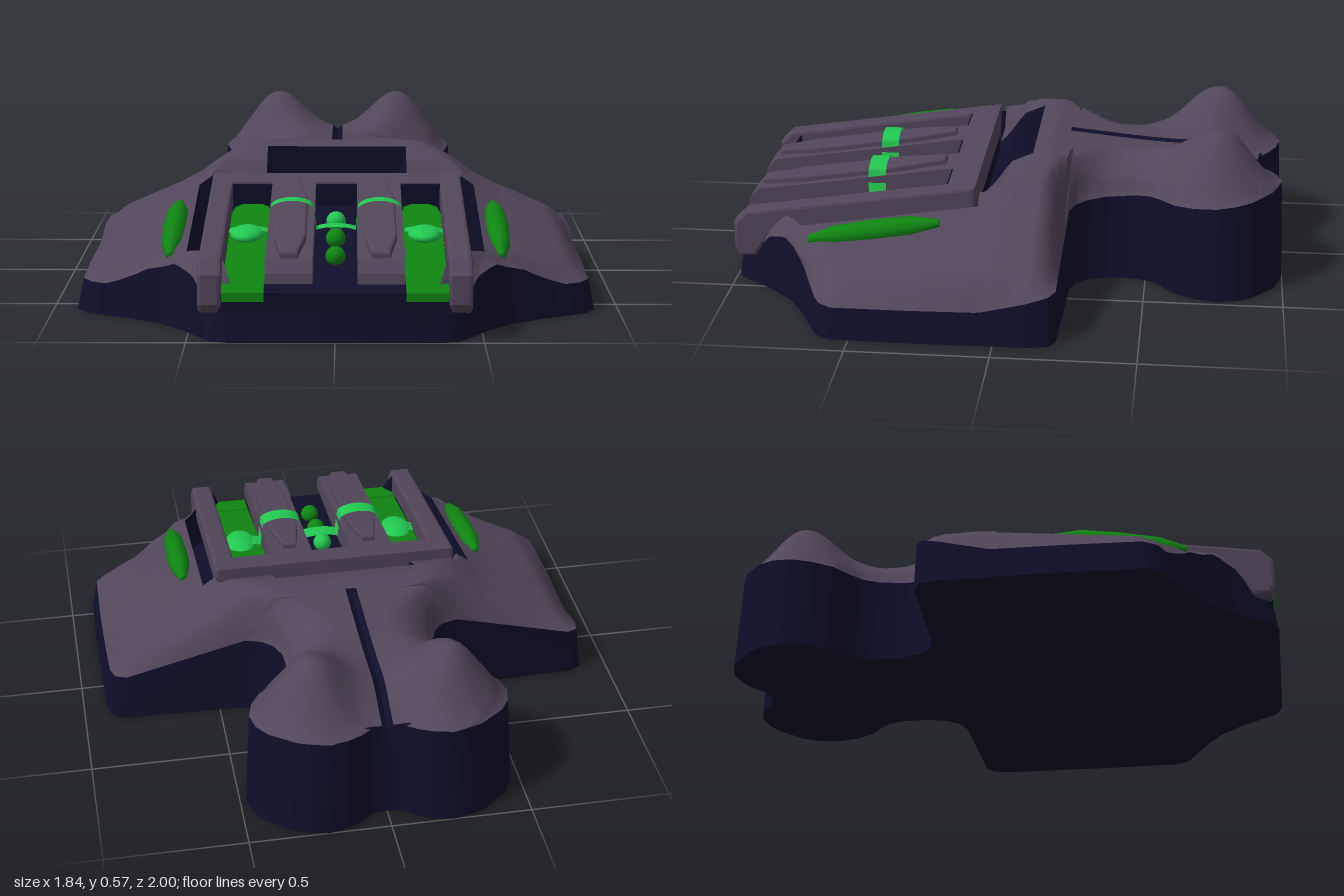
import * as THREE from 'three';
import { toCreasedNormals } from 'three/addons/utils/BufferGeometryUtils.js';

const mat = (name, color, side = THREE.FrontSide) => {
  const m = new THREE.MeshStandardMaterial({ color, side });
  m.name = name;
  return m;
};
const { lerp, smoothstep, clamp } = THREE.MathUtils;

// Piecewise linear lookup through [position, value] pairs
const along = (pts, t) => {
  if (t <= pts[0][0]) return pts[0][1];
  for (let i = 1; i < pts.length; i++) {
    const [a, va] = pts[i - 1], [b, vb] = pts[i];
    if (t <= b) return lerp(va, vb, (t - a) / (b - a));
  }
  return pts[pts.length - 1][1];
};

// Half outline of the hull as [z, x], back to front
const OUTER = [[-1, 0.22], [-0.985, 0.29], [-0.965, 0.34], [-0.89, 0.43], [-0.83, 0.465], [-0.76, 0.478], [-0.68, 0.46],
  [-0.61, 0.42], [-0.56, 0.36], [-0.52, 0.32], [-0.46, 0.3], [-0.36, 0.3], [-0.29, 0.325], [-0.25, 0.36], [-0.228, 0.42],
  [-0.215, 0.86], [-0.19, 0.9], [-0.12, 0.915], [0.3, 0.92], [0.57, 0.915], [0.62, 0.88], [0.7, 0.71], [0.76, 0.61],
  [0.85, 0.52], [0.93, 0.46], [0.98, 0.42], [1, 0.36]];
const INNER = [[-1, 0.22], [-0.985, 0.15], [-0.96, 0.1], [-0.92, 0.05], [-0.915, 0]];
const EDGE = [...INNER.slice().reverse(), ...OUTER.slice(1), [1, 0]];

// Heights: seam between the two colours, crown along the middle, slope of the shoulders
const SEAM = [[-1, 0.37], [-0.228, 0.3], [-0.215, 0.18], [-0.1, 0.15], [0.05, 0.115], [0.65, 0.11], [0.72, 0.18],
  [0.8, 0.22], [0.87, 0.19], [0.95, 0.1], [1, 0.1]];
const CROWN = [[-1, 0.4], [-0.8, 0.42], [-0.6, 0.43], [-0.4, 0.45], [-0.2, 0.47], [-0.15, 0.48], [-0.08, 0.465],
  [0, 0.43], [0.04, 0.37], [0.09, 0.31]];
const SHOULDER = [[0.3, 0.48], [0.38, 0.455], [0.44, 0.42], [0.52, 0.36], [0.6, 0.32], [0.8, 0.24], [0.92, 0.19]];

function edgeDistance(x, z) {
  let best = 9;
  for (let i = 1; i < EDGE.length; i++) {
    const [az, ax] = EDGE[i - 1], [bz, bx] = EDGE[i];
    const dx = bx - ax, dz = bz - az;
    const t = clamp(((x - ax) * dx + (z - az) * dz) / (dx * dx + dz * dz), 0, 1);
    best = Math.min(best, Math.hypot(x - ax - t * dx, z - az - t * dz));
  }
  return best;
}

function topHeight(x, z) {
  const seam = along(SEAM, z);
  const lobe = 0.15 * Math.exp(-((x - 0.24) ** 2) / 0.02 - ((z + 0.77) ** 2) / 0.035);
  let h = along(CROWN, z) + lobe;
  if (z > -0.28) {
    const side = along(SHOULDER, x) * (1 - 0.42 * Math.max(0, z));
    h = x < 0.46 ? Math.min(h, side) : side;
  }
  const r = lerp(0.2, 0.09, smoothstep(z, -0.4, -0.2));
  const e = Math.sin(Math.min(1, edgeDistance(x, z) / r) * Math.PI / 2);
  return seam + Math.max(0, h - seam) * e;
}

// One half of the hull: closed cross-sections joined front to back, sorted into shell and base faces
function hullHalf(s) {
  const zs = OUTER.concat(INNER).map((p) => p[0]).concat([-0.082, -0.078, 0.094, 0.1]);
  for (let z = -0.98; z < 0.999; z += 0.025) zs.push(z);
  zs.sort((a, b) => a - b);
  const rows = zs.filter((z, i) => i === 0 || z - zs[i - 1] > 0.0015);
  const pos = [], low = [], shell = [], base = [], A = 14, B = 14, top = A + B, ring = top + 2;
  for (const z of rows) {
    const a = along(INNER, z), b = along(OUTER, z), g = Math.min(0.02, (b - a) / 9);
    const k = Math.min(0.505, a + (b - a) * 0.8);
    for (let j = 0; j < top; j++) {
      const x = j === 0 ? a : j < A ? lerp(a + g, k, (j - 1) / (A - 2))
        : lerp(k + Math.min(0.008, (b - k) / 9), b, (j - A) / (B - 1));
      const trench = z > 0.097 && j < A, pit = z > -0.08 && z <= 0.097 && x < 0.23;
      low.push(trench || pit);
      const y = trench ? 0.1 : pit ? 0.29 : topHeight(x, z) - (j === 0 && z < -0.22 && a === 0 ? 0.012 : 0);
      pos.push(s * (x - 0.022 * smoothstep(x, k, b)), y, z * 0.985);
    }
    low.push(false, false);
    pos.push(s * b, 0, z, s * a, 0, z);
  }
  const tri = (list, a, b, c) => (s > 0 ? list.push(a, b, c) : list.push(a, c, b));
  for (let i = 0; i < rows.length - 1; i++) {
    for (let j = 0; j < ring; j++) {
      if (j === ring - 1 && rows[i] > -0.92) continue;
      const n = (j + 1) % ring;
      const a = i * ring + j, b = a + ring, d = i * ring + n, c = d + ring;
      const groove = j === 0 && rows[i] > -0.93 && rows[i] < -0.21;
      const dark = j >= top - 1 || groove || low[a] || low[b] || low[c] || low[d];
      const list = dark ? base : shell;
      tri(list, a, b, c);
      tri(list, a, c, d);
    }
  }
  const last = (rows.length - 1) * ring;
  for (let j = 1; j < ring - 1; j++) tri(base, last, last + j + 1, last + j);
  return [shell, base].map((index) => {
    const geo = new THREE.BufferGeometry();
    geo.setAttribute('position', new THREE.Float32BufferAttribute(pos, 3));
    geo.setIndex(index);
    return toCreasedNormals(geo, 0.7);
  });
}

// Side profile of [z, y] points extruded across x0..x1
function slab(pts, x0, x1, bevel = 0) {
  const shape = new THREE.Shape(pts.map(([z, y]) => new THREE.Vector2(-z, y)));
  const geo = new THREE.ExtrudeGeometry(shape, { depth: x1 - x0 - 2 * bevel, bevelEnabled: bevel > 0,
    bevelSize: bevel, bevelThickness: bevel, bevelOffset: -bevel, bevelSegments: 2 });
  return geo.rotateY(Math.PI / 2).translate(x0 + bevel, 0, 0);
}

// Plan outline of [x, z] points given thickness, then laid on the slope y = h - k z
function plate(pts, depth, h, k, bevel = 0) {
  const shape = new THREE.Shape(pts.map(([x, z]) => new THREE.Vector2(x, -z)));
  const geo = new THREE.ExtrudeGeometry(shape, { depth, bevelEnabled: bevel > 0, bevelSize: bevel,
    bevelThickness: bevel, bevelOffset: -bevel, bevelSegments: 2 }).rotateX(-Math.PI / 2);
  const p = geo.attributes.position;
  for (let i = 0; i < p.count; i++) p.setY(i, p.getY(i) + h - k * p.getZ(i));
  geo.computeVertexNormals();
  return geo;
}

export function createModel() {
  const model = new THREE.Group();
  const grey = mat('plum grey', 0x52465a), navy = mat('dark navy', 0x0e0e2a);
  const green = mat('green', 0x0f8512), bright = mat('bright green', 0x22c850, THREE.DoubleSide);
  const add = (name, geo, material, x = 0, y = 0, z = 0) => {
    const m = new THREE.Mesh(geo, material);
    m.name = name;
    m.position.set(x, y, z);
    model.add(m);
    return m;
  };

  const deck = (z) => 0.417 - 0.15 * z, floor = (z) => 0.337 - 0.172 * z;

  // Console bed and rear frame
  add('consoleBed', slab([[0.985, 0.1], [0.985, floor(0.985)], [0.2, floor(0.2)], [0.11, 0.29], [0.11, 0.1]], -0.39, 0.39), navy);
  add('rearFrame', slab([[0.215, 0.25], [0.215, deck(0.215)], [0.11, deck(0.11)], [0.11, 0.28]], -0.42, 0.42), grey);
  add('slotBackWall', new THREE.BoxGeometry(0.76, 0.1, 0.008), navy, 0, 0.33, 0.218);

  for (const s of [-1, 1]) {
    const side = s > 0 ? 'left' : 'right';
    const span = (pts, a, b, bevel) => slab(pts, s > 0 ? a : -b, s > 0 ? b : -a, bevel);
    const [shell, base] = hullHalf(s);
    add(side + 'Shell', shell, grey);
    add(side + 'Base', base, navy);

    // Console rail and inner rib with its raised ridge
    add(side + 'Rail', span([[0.98, 0.1], [0.995, 0.13], [0.995, 0.23], [0.95, deck(0.95)], [0.11, deck(0.11)],
      [0.11, 0.31], [0.85, 0.2], [0.92, 0.1]], 0.38, 0.46, 0.012), grey);
    add(side + 'Rib', span([[0.99, 0.2], [0.985, 0.235], [0.95, deck(0.95)], [0.2, deck(0.2)], [0.2, 0.27]], 0.075, 0.235), grey);
    const ridge = [[-0.025, 0.25], [0.025, 0.25], [0.055, 0.42], [0.055, 0.78], [0.03, 0.94], [-0.03, 0.94],
      [-0.055, 0.78], [-0.055, 0.42]].map(([x, z]) => [x + s * 0.155, z]);
    add(side + 'Ridge', plate(ridge, 0.015, 0.417, 0.15, 0.008), grey);

    // Green slot strip with a turned-down front end
    const strip = [[-0.035, 0.225], [0.035, 0.225], [0.06, 0.25], [0.072, 0.31], [0.072, 0.875], [-0.072, 0.875],
      [-0.072, 0.31], [-0.06, 0.25]].map(([x, z]) => [x + s * 0.308, z]);
    add(side + 'SlotStrip', plate(strip, 0.007, 0.338, 0.172), green);
    add(side + 'StripFront', span([[0.993, 0.14], [0.993, 0.17], [0.96, 0.19], [0.87, 0.198], [0.87, 0.14]], 0.238, 0.38), green);
    add(side + 'Dome', new THREE.SphereGeometry(1, 20, 12), bright, s * 0.315, 0.26, 0.51).scale.set(0.06, 0.03, 0.085);

    // Spindle-shaped light on the wing
    const profile = [[0, -0.24], [0.014, -0.24], [0.038, -0.14], [0.042, 0], [0.038, 0.14], [0.014, 0.24], [0, 0.24]];
    const fin = add(side + 'WingLight', new THREE.LatheGeometry(profile.map(([r, y]) => new THREE.Vector2(r, y)), 10),
      green, s * 0.575, 0.268, 0.46);
    fin.rotation.x = Math.PI / 2 + 0.17;
  }

  // Band arching over the ribs and dipping into the slots
  const band = new THREE.PlaneGeometry(0.76, 0.065, 76, 1).rotateX(-Math.PI / 2);
  const bp = band.attributes.position;
  for (let i = 0; i < bp.count; i++) {
    const x = Math.abs(bp.getX(i));
    const arch = (c, w, y, h) => y + h * Math.sqrt(Math.max(0, 1 - ((x - c) / w) ** 2));
    bp.setY(i, x < 0.075 ? arch(0, 0.08, 0.27, 0.02) : x < 0.235 ? arch(0.155, 0.082, 0.345, 0.04) : arch(0.308, 0.08, 0.26, 0.02));
  }
  band.computeVertexNormals();
  add('crossBand', band, bright, 0, 0, 0.5);

  // Row of beads down the middle channel
  [0.42, 0.575, 0.73].forEach((z, i) =>
    add('bead' + (i + 1), new THREE.SphereGeometry(0.035, 18, 12), i ? green : bright, 0, floor(z) + 0.022, z));

  return model;
}
